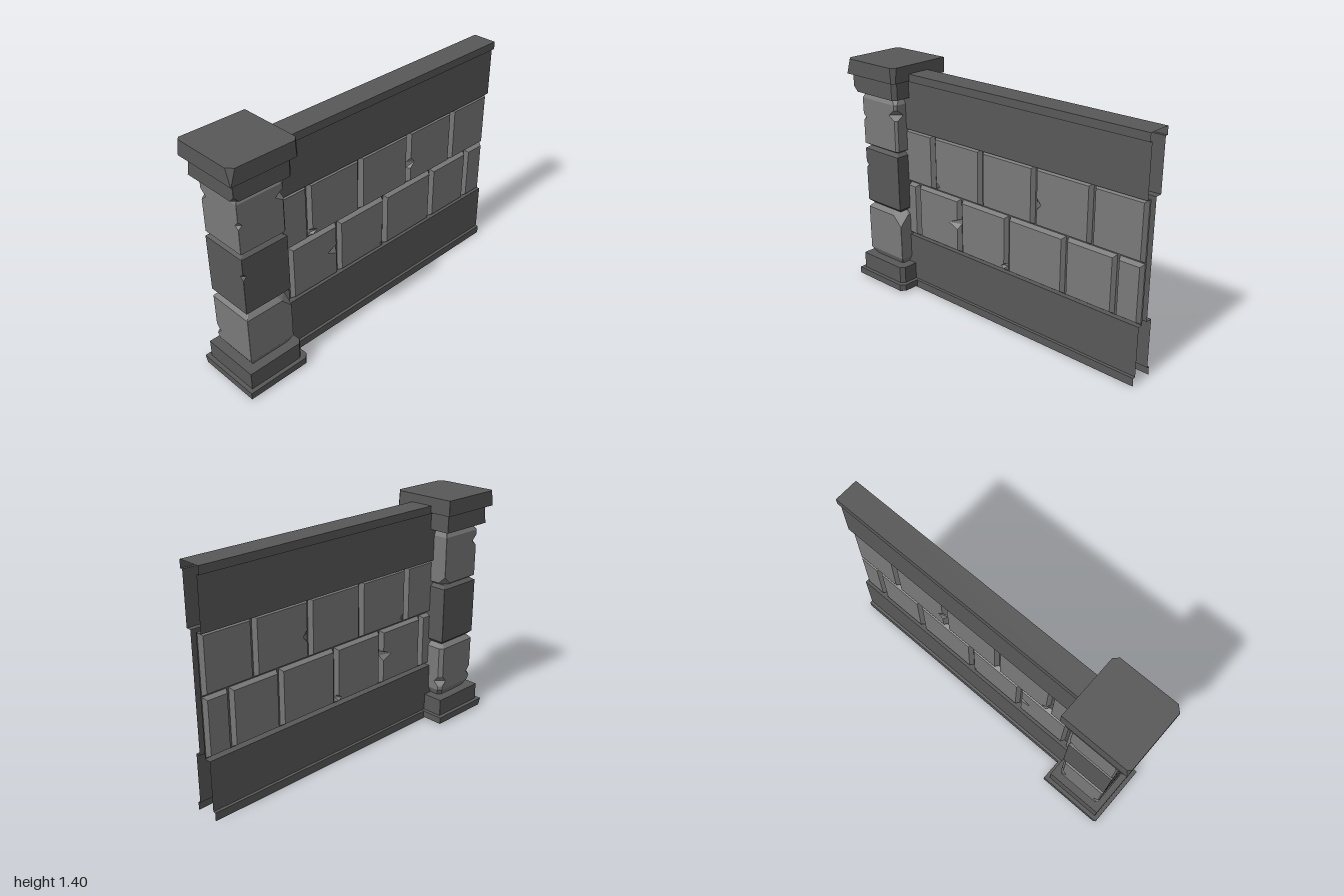
import * as THREE from 'three';

const material = (color) => new THREE.MeshStandardMaterial({ color, flatShading: true, side: THREE.DoubleSide });
const darkStone = material(0x585858);
const lightStone = material(0x7a7a7a);

function geometryFrom(vertices, indices) {
  const g = new THREE.BufferGeometry();
  g.setAttribute('position', new THREE.Float32BufferAttribute(vertices.flat(), 3));
  g.setIndex(indices);
  const flat = g.toNonIndexed();
  flat.computeVertexNormals();
  return flat;
}

function addMesh(group, name, geometry, mat) {
  const mesh = new THREE.Mesh(geometry, mat);
  mesh.name = name;
  group.add(mesh);
}

// Square stone lofted through rings [y, half width, corner cuts].
// Corner order: front right (+x +z), back right, back left, front left.
function cutBlock(rings) {
  const corners = [[1, 1], [1, -1], [-1, -1], [-1, 1]];
  const vertices = [], indices = [], n = 8;
  for (const [y, h, cuts = [0, 0, 0, 0]] of rings) {
    corners.forEach(([sx, sz], i) => {
      const c = cuts[i] + 0.001;
      const onX = [sx * h, y, sz * (h - c)], onZ = [sx * (h - c), y, sz * h];
      vertices.push(...(sx * sz > 0 ? [onZ, onX] : [onX, onZ]));
    });
  }
  for (let r = 0; r < rings.length - 1; r++) {
    for (let i = 0; i < n; i++) {
      const a = r * n + i, b = r * n + (i + 1) % n;
      indices.push(a, a + n, b, b, a + n, b + n);
    }
  }
  const top = (rings.length - 1) * n;
  for (let i = 1; i < n - 1; i++) {
    indices.push(0, i, i + 1, top, top + i + 1, top + i);
  }
  return geometryFrom(vertices, indices);
}

// Bevelled wall brick; chips are [side, y, depth, half height] bites out of the face edge.
function brickGeometry(x0, x1, y0, y1, zBase, zFace, chips) {
  const outline = (dx, dy, bite) => {
    const edge = (side) => chips.filter((c) => c[0] === side).flatMap(([, y, d, h]) => {
      const x = side > 0 ? x1 - dx : x0 + dx;
      return [[x, y - side * h], [x - side * d * bite, y], [x, y + side * h]];
    });
    return [[x0 + dx, y0 + dy], [x1 - dx, y0 + dy], ...edge(1),
      [x1 - dx, y1 - dy], [x0 + dx, y1 - dy], ...edge(-1)];
  };
  const base = outline(0.007, 0.002, 0), face = outline(0.021, 0.016, 1), n = base.length;
  const vertices = [...base.map((p) => [...p, zBase]), ...face.map((p) => [...p, zFace])];
  const indices = [];
  for (let i = 0; i < n; i++) {
    const j = (i + 1) % n;
    indices.push(i, j, n + i, j, n + j, n + i);
  }
  const points = face.map(([x, y]) => new THREE.Vector2(x, y));
  for (const t of THREE.ShapeUtils.triangulateShape(points, [])) indices.push(...t.map((k) => n + k));
  if (zFace < zBase) indices.reverse();
  return geometryFrom(vertices, indices);
}

// Thin sheet: a (z, y) profile swept along x, open at the end.
function sheet(profile, x0, x1) {
  const vertices = profile.flatMap(([z, y]) => [[x0, y, z], [x1, y, z]]);
  const indices = [];
  for (let i = 0; i < profile.length - 1; i++) {
    const a = i * 2;
    indices.push(a, a + 1, a + 2, a + 1, a + 3, a + 2);
  }
  return geometryFrom(vertices, indices);
}

function createPost() {
  const post = new THREE.Group();
  post.name = 'post';
  post.position.x = -0.798;

  // Base and capital slabs with worn front corners
  addMesh(post, 'plinth', cutBlock([[0.01, 0.2, [0.025, 0, 0.015, 0]], [0.05, 0.2, [0.025, 0, 0, 0]]]), darkStone);
  addMesh(post, 'baseSlab', cutBlock([[0.05, 0.176, [0.022, 0, 0, 0]], [0.153, 0.176, [0.022, 0, 0, 0]]]), darkStone);
  addMesh(post, 'capitalSlab', cutBlock([
    [1.21, 0.176, [0.022, 0, 0, 0.03]], [1.24, 0.176, [0.022, 0, 0.01, 0]], [1.315, 0.176, [0.022, 0, 0.02, 0]],
  ]), darkStone);
  addMesh(post, 'capSlab', cutBlock([
    [1.315, 0.2, [0.018, 0, 0, 0]], [1.405, 0.2, [0.025, 0, 0.015, 0.03]],
  ]), darkStone);

  // Three chipped shaft stones
  const lower = [0, 0.02, 0.005, 0];
  addMesh(post, 'lowerStone', cutBlock([
    [0.15, 0.118, [0.01, 0.02, 0.03, 0]], [0.195, 0.143, [0, 0.02, 0.02, 0]],
    [0.22, 0.143, lower], [0.25, 0.143, [0, 0.05, 0.035, 0]], [0.285, 0.143, lower],
    [0.41, 0.143, lower], [0.472, 0.143, [0.06, 0.02, 0.005, 0]], [0.497, 0.118, [0.05, 0.01, 0, 0]],
  ]), lightStone);
  addMesh(post, 'middleStone', cutBlock([
    [0.497, 0.118], [0.52, 0.143], [0.73, 0.143], [0.75, 0.143, [0, 0, 0, 0.02]],
    [0.77, 0.143], [0.855, 0.143], [0.872, 0.118],
  ]), darkStone);
  const upper = [0.013, 0, 0.008, 0];
  addMesh(post, 'upperStone', cutBlock([
    [0.872, 0.118, [0.01, 0.04, 0, 0]], [0.888, 0.143, [0.013, 0.045, 0.008, 0]], [0.93, 0.143, upper],
    [1.03, 0.143, upper], [1.05, 0.143, [0.013, 0, 0.008, 0.022]], [1.075, 0.143, upper],
    [1.105, 0.143, [0.058, 0, 0.045, 0]], [1.14, 0.143, upper],
    [1.17, 0.143, upper], [1.215, 0.12, [0.03, 0, 0.02, 0]],
  ]), lightStone);
  return post;
}

function createWall() {
  const wall = new THREE.Group();
  wall.name = 'wall';

  // Hollow shell: footing, panels, recessed brick bed and coping
  const side = (foot, panel, bed) => [
    [foot, 0], [foot, 0.048], [panel, 0.05], [panel, 0.34], [bed, 0.34],
    [bed, 1.018], [panel, 1.018], [panel, 1.31], [foot, 1.31], [foot, 1.355],
  ];
  const profile = [...side(0.08, 0.064, 0.035), ...side(-0.065, -0.049, -0.009).reverse()];
  addMesh(wall, 'wallShell', sheet(profile, -0.8, 1), darkStone);

  // Two staggered brick courses on both sides; chips keyed by brick index
  const courses = [
    { y0: 0.342, y1: 0.68, joints: [-0.8, -0.58, -0.235, 0.125, 0.52, 0.84, 1],
      chips: { 1: [[1, 0.52, 0.065, 0.03]], 2: [[1, 0.375, 0.02, 0.015]] } },
    { y0: 0.682, y1: 1.018, joints: [-0.8, -0.44, -0.07, 0.31, 0.68, 1],
      chips: { 1: [[-1, 0.72, 0.03, 0.02]], 3: [[-1, 0.815, 0.03, 0.035]] } },
  ];
  for (const { y0, y1, joints, chips } of courses) {
    for (let i = 0; i < joints.length - 1; i++) {
      for (const [name, zBase, zFace] of [['frontBrick', 0.035, 0.061], ['backBrick', -0.009, -0.035]]) {
        const g = brickGeometry(joints[i], joints[i + 1], y0, y1, zBase, zFace, chips[i] || []);
        addMesh(wall, name, g, lightStone);
      }
    }
  }
  return wall;
}

export function createModel() {
  const model = new THREE.Group();
  model.name = 'stoneWallWithPost';
  model.add(createPost(), createWall());
  return model;
}
